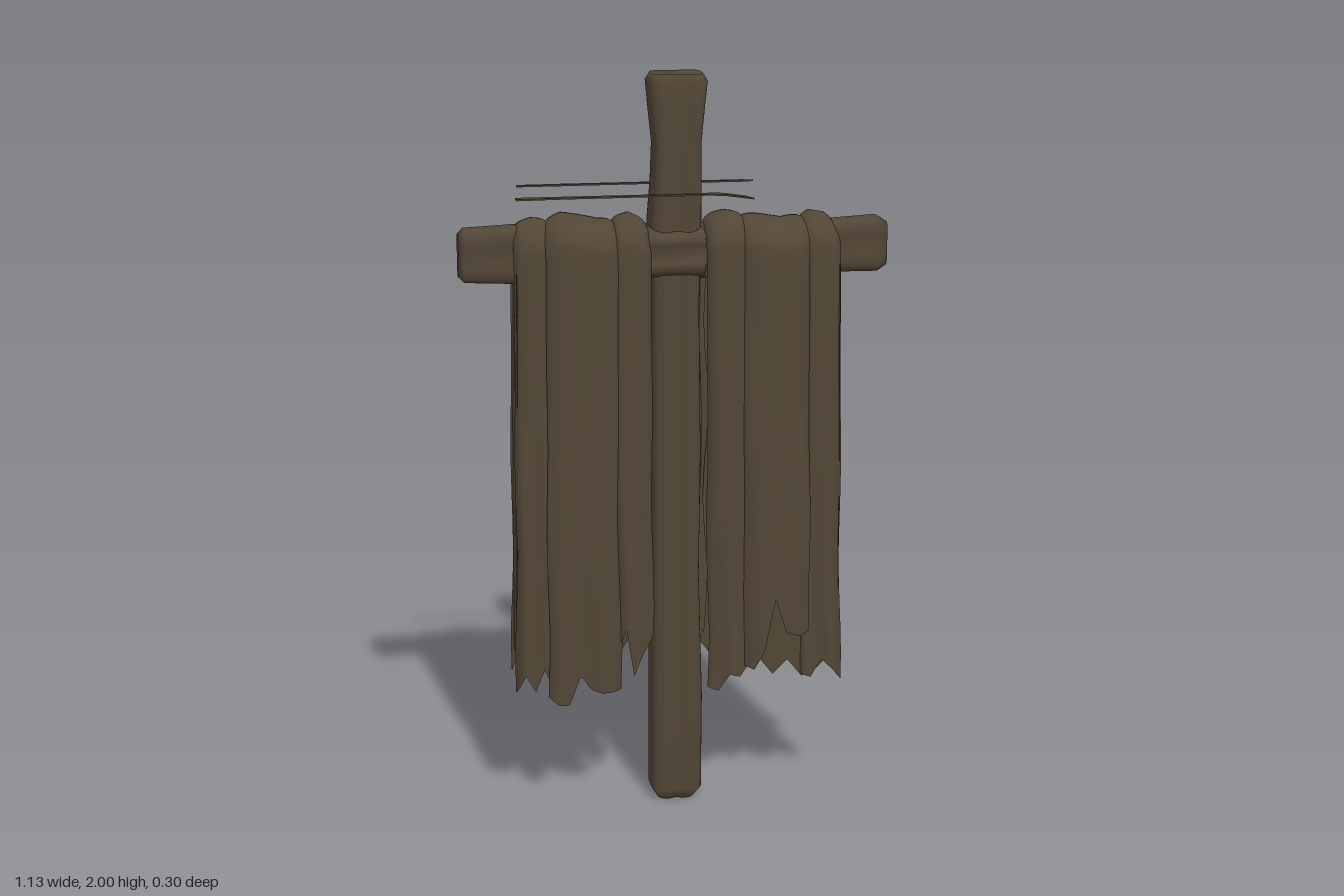
import * as THREE from 'three';
import { mergeVertices } from 'three/addons/utils/BufferGeometryUtils.js';

const material = new THREE.MeshStandardMaterial({ color: 0x524636, side: THREE.DoubleSide });
material.name = 'weathered brown';

// Smooth grid surface from a rule point(u, v) -> [x, y, z], u and v in 0..1
function surface(name, nu, nv, point) {
  const pos = [], index = [];
  for (let j = 0; j <= nv; j++)
    for (let i = 0; i <= nu; i++) pos.push(...point(i / nu, j / nv));
  for (let j = 0; j < nv; j++)
    for (let i = 0; i < nu; i++) {
      const a = j * (nu + 1) + i, b = a + 1, c = a + nu + 1, d = c + 1;
      index.push(a, c, b, b, c, d);
    }
  let geo = new THREE.BufferGeometry();
  geo.setAttribute('position', new THREE.Float32BufferAttribute(pos, 3));
  geo.setIndex(index);
  geo = mergeVertices(geo, 1e-5);
  geo.computeVertexNormals();
  const mesh = new THREE.Mesh(geo, material);
  mesh.name = name;
  return mesh;
}

// Linear read-out of a short list at s in 0..1
function sample(list, s) {
  const f = s * (list.length - 1), i = Math.min(Math.floor(f), list.length - 2);
  return THREE.MathUtils.lerp(list[i], list[i + 1], f - i);
}

// Grooved timber; stations are [along, centreA, halfA, centreZ, halfZ]
function timber(name, stations, place) {
  const n = stations.length - 1;
  const soft = (c) => Math.sign(c) * Math.pow(Math.abs(c), 0.5);
  return surface(name, 40, n, (u, v) => {
    const [t, ca, ha, cz, hz] = stations[Math.round(v * n)];
    const k = (u === 1 ? 0 : u) * Math.PI * 2;
    const a = soft(Math.cos(k));
    const groove = 1 - 0.16 * Math.exp(-Math.pow(a / 0.25, 2));
    return place(t, ca + ha * a, cz + hz * soft(Math.sin(k)) * groove);
  });
}

// Cloth strip hung over the crossbar, with ragged hems front and back
function drape(name, o) {
  const arc = 0.09;
  return surface(name, 36, 44, (s, v) => {
    const edge = Math.pow(Math.abs(2 * s - 1), 5);
    const top = sample(o.top, s) - 0.02 * edge;
    const zc = (o.zf + o.zb) / 2, h = (o.zf - o.zb) / 2 - 0.022 * edge;
    let y, z;
    if (v > 0.35 && v < 0.65) {
      const th = ((v - 0.35) / 0.3) * Math.PI;
      y = top - arc + arc * Math.sin(th);
      z = zc + h * Math.cos(th);
    } else {
      const front = v <= 0.35;
      const t = front ? v / 0.35 : (1 - v) / 0.35;
      const hem = sample(front ? o.hemF : o.hemB, s);
      y = THREE.MathUtils.lerp(hem, top - arc, t);
      const ripple = 0.006 * Math.sin(s * 9 + y * 3 + o.x0 * 20) * (1 - t);
      z = zc + (front ? 1 : -1) * (h + 0.018 * (1 - t) * (1 - t * t) + ripple);
    }
    const drop = Math.max(0, 1.5 - y);
    const x = THREE.MathUtils.lerp(o.x0, o.x1, s) * (1 + 0.03 * drop)
      + 0.004 * Math.sin(y * 11 + o.x0 * 30) * Math.min(1, drop);
    return [x, y, z];
  });
}

// Thin flat piece, outline given as [a, b] pairs
function plate(name, pts, thick) {
  const shape = new THREE.Shape(pts.map(([a, b]) => new THREE.Vector2(a, b)));
  const mesh = new THREE.Mesh(
    new THREE.ExtrudeGeometry(shape, { depth: thick, bevelEnabled: false }), material);
  mesh.name = name;
  return mesh;
}

export function createModel() {
  const model = new THREE.Group();
  model.name = 'tatteredBanner';

  // Upright post
  model.add(timber('post', [
    [0.01, 0, 0.001, -0.03, 0.001], [0.0, 0, 0.05, -0.03, 0.045],
    [0.03, 0.002, 0.07, -0.032, 0.064], [0.3, 0.003, 0.071, -0.032, 0.066],
    [0.65, 0, 0.064, -0.03, 0.062], [1.0, 0.002, 0.066, -0.03, 0.063],
    [1.4, 0, 0.063, -0.03, 0.062], [1.62, 0, 0.068, -0.032, 0.068],
    [1.72, 0.004, 0.064, -0.03, 0.067], [1.82, 0.005, 0.062, -0.026, 0.062],
    [1.92, 0.005, 0.072, -0.029, 0.065], [1.98, 0.006, 0.078, -0.031, 0.067],
    [2.0, 0.006, 0.066, -0.03, 0.055], [1.985, 0.006, 0.001, -0.03, 0.001],
  ], (t, a, z) => [a, t, z]));

  // Crossbar
  model.add(timber('crossbar', [
    [-0.545, 1.54, 0.001, -0.03, 0.001], [-0.565, 1.54, 0.055, -0.03, 0.028],
    [-0.55, 1.54, 0.07, -0.03, 0.038], [-0.42, 1.54, 0.076, -0.029, 0.042],
    [-0.2, 1.535, 0.07, -0.03, 0.046], [0.2, 1.535, 0.07, -0.03, 0.046],
    [0.43, 1.54, 0.07, -0.03, 0.042], [0.54, 1.543, 0.074, -0.028, 0.038],
    [0.565, 1.543, 0.058, -0.026, 0.028], [0.545, 1.543, 0.001, -0.026, 0.001],
  ], (t, a, z) => [t, a, z]));

  // Binding where post and crossbar meet
  model.add(timber('binding', [
    [-0.08, 1.54, 0.05, -0.03, 0.06], [-0.07, 1.54, 0.065, -0.03, 0.082],
    [0.0, 1.54, 0.062, -0.03, 0.078], [0.07, 1.54, 0.065, -0.03, 0.082],
    [0.08, 1.54, 0.05, -0.03, 0.06],
  ], (t, a, z) => [t, a, z]));

  // Cloth strips hung over the crossbar
  const strips = [
    { x0: -0.425, x1: -0.325, zf: 0.05, zb: -0.105, top: [1.62, 1.635, 1.63],
      hemF: [0.35, 0.41, 0.36, 0.42, 0.36], hemB: [0.36, 0.42, 0.35, 0.4] },
    { x0: -0.345, x1: -0.155, zf: 0.08, zb: -0.122, top: [1.635, 1.648, 1.64, 1.63, 1.635],
      hemF: [0.35, 0.33, 0.33, 0.41, 0.37, 0.36, 0.36, 0.36], hemB: [0.4, 0.35, 0.38, 0.35, 0.42, 0.38] },
    { x0: -0.17, x1: -0.07, zf: 0.068, zb: -0.118, top: [1.63, 1.643, 1.62],
      hemF: [0.45, 0.53, 0.4, 0.46, 0.51], hemB: [0.4, 0.36, 0.43, 0.39] },
    { x0: 0.075, x1: 0.185, zf: 0.07, zb: -0.118, top: [1.63, 1.643, 1.635],
      hemF: [0.35, 0.34, 0.39, 0.38, 0.41], hemB: [0.42, 0.37, 0.41, 0.38] },
    { x0: 0.165, x1: 0.345, zf: 0.08, zb: -0.122, top: [1.638, 1.63, 1.62, 1.635],
      hemF: [0.41, 0.4, 0.46, 0.6, 0.5, 0.49, 0.5], hemB: [0.38, 0.42, 0.35, 0.4, 0.36, 0.39] },
    { x0: 0.32, x1: 0.435, zf: 0.052, zb: -0.105, top: [1.615, 1.637, 1.63, 1.6],
      hemF: [0.37, 0.36, 0.41, 0.38, 0.34], hemB: [0.4, 0.35, 0.42, 0.36] },
  ];
  strips.forEach((o, i) => model.add(drape(`clothStrip${i + 1}`, o)));

  // Torn under-layer showing below the front right strips
  model.add(surface('tornUnderlayer', 24, 6, (s, v) => [
    0.18 + 0.24 * s,
    THREE.MathUtils.lerp(sample([0.42, 0.42, 0.37, 0.41, 0.36, 0.38, 0.42], s), 0.9, v),
    0.056,
  ]));

  // Ragged cloth behind the post
  model.add(surface('backCloth', 32, 24, (s, v) => {
    const y = THREE.MathUtils.lerp(sample([0.44, 0.5, 0.42, 0.46, 0.4, 0.47, 0.44], s), 1.5, v);
    const x = -0.1 + 0.2 * s + 0.006 * Math.sin(y * 13);
    return [x, y, -0.112 + 0.005 * Math.sin(s * 12 + y * 7)];
  }));

  // Closed side folds at both ends
  for (const side of [-1, 1])
    model.add(surface(side < 0 ? 'rightSideFold' : 'leftSideFold', 14, 20, (s, v) => {
      const y = THREE.MathUtils.lerp(sample([0.42, 0.46, 0.5, 0.44, 0.4], s), 1.5, v);
      const bulge = 0.012 * Math.sin(s * Math.PI * 2);
      const x = (side < 0 ? 0.42 : 0.43) * (1 + 0.03 * (1.5 - y)) - Math.abs(bulge);
      return [side * x, y, -0.1 + 0.145 * s];
    }));

  // Loose flat threads above the cloth; outlines in x and -z
  const threads = {
    frontThread: [[-0.42, -0.08], [-0.3, -0.073], [0.08, -0.07], [0.12, -0.085], [0.155, -0.12],
      [0.18, -0.145], [0.165, -0.11], [0.12, -0.06], [0.09, -0.045], [0.06, -0.055], [-0.42, -0.052]],
    backThread: [[-0.4, 0.133], [-0.05, 0.135], [-0.01, 0.095], [0.015, 0.135], [0.2, 0.133],
      [0.23, 0.14], [0.2, 0.15], [-0.3, 0.15], [-0.4, 0.147]],
  };
  for (const [name, pts] of Object.entries(threads)) {
    const thread = plate(name, pts, 0.004);
    thread.rotation.x = -Math.PI / 2;
    thread.position.y = 1.696;
    model.add(thread);
  }
  return model;
}
